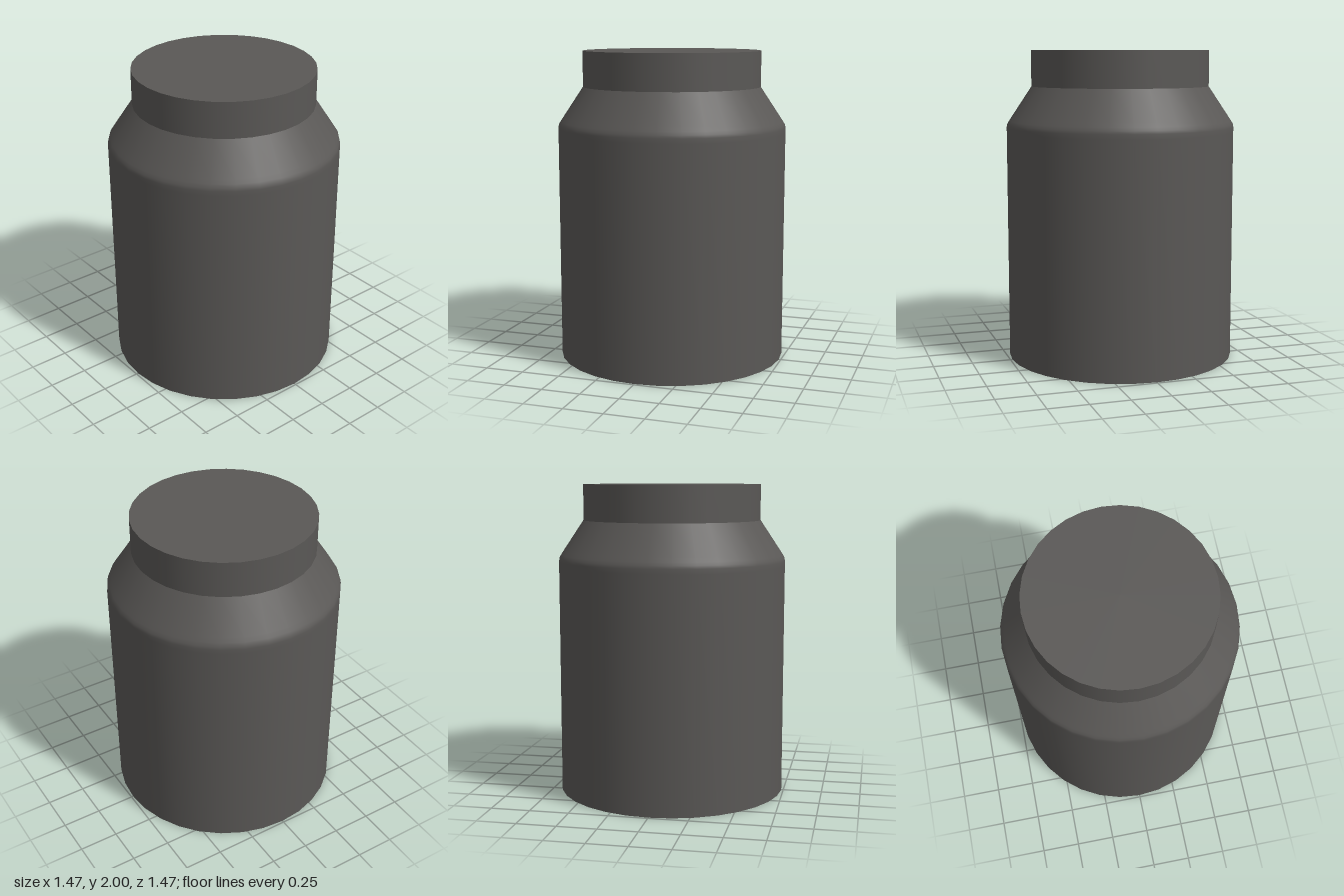
import * as THREE from 'three';

const SIDES = 32;
const BODY_R = 0.737, NECK_R = 0.575, NECK_Y = 1.77, TOP_Y = 2;

export function createModel() {
  const jar = new THREE.Group();
  jar.name = 'jar';
  const darkGrey = new THREE.MeshStandardMaterial({ color: 0x5a5856 });
  darkGrey.name = 'darkGrey';

  const add = (name, geometry) => {
    const mesh = new THREE.Mesh(geometry, darkGrey);
    mesh.name = name;
    jar.add(mesh);
    return mesh;
  };
  const lathe = (points) =>
    new THREE.LatheGeometry(points.map(([r, y]) => new THREE.Vector2(r, y)), SIDES);

  // straight wall with a softened edge into the sloping shoulder
  add('body', lathe([
    [BODY_R, 0], [BODY_R, 1.48], [BODY_R, 1.51], [0.733, 1.53], [0.721, 1.55],
    [0.706, 1.573], [NECK_R, NECK_Y],
  ]));

  // upright neck with a crisp seam at the shoulder
  add('neck', lathe([[NECK_R, NECK_Y], [NECK_R, TOP_Y]]));

  // flat end caps
  const lid = add('lidTop', new THREE.CircleGeometry(NECK_R, SIDES));
  lid.rotation.x = -Math.PI / 2;
  lid.position.y = TOP_Y;
  const base = add('base', new THREE.CircleGeometry(BODY_R, SIDES));
  base.rotation.x = Math.PI / 2;

  return jar;
}
